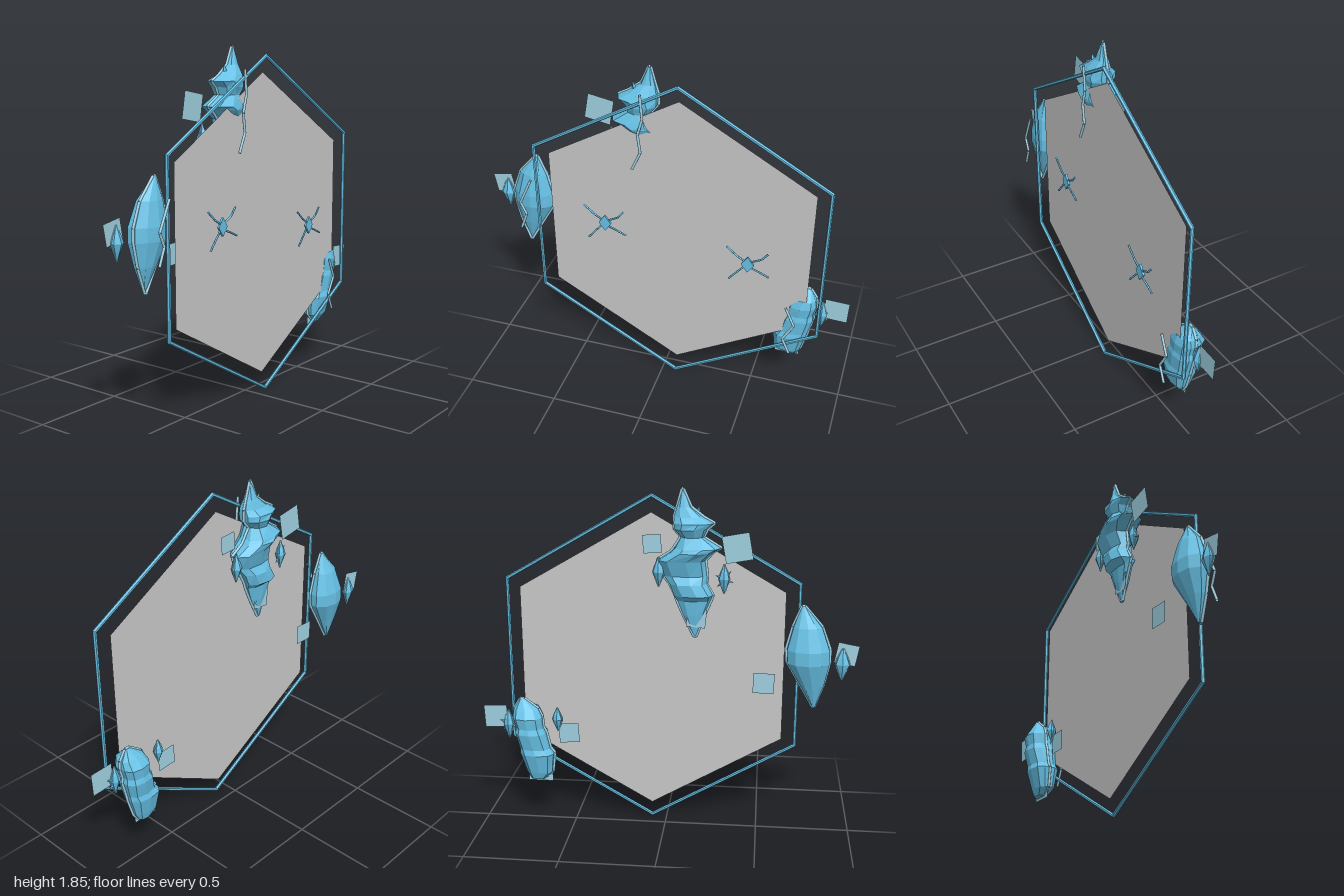
import * as THREE from 'three';

const blue = new THREE.MeshStandardMaterial({ color: 0x6ccaf0, flatShading: true });
blue.name = 'crystal blue';
const muted = new THREE.MeshStandardMaterial({ color: 0x9fd0e0, side: THREE.DoubleSide });
muted.name = 'pale blue';
const grey = new THREE.MeshStandardMaterial({ color: 0xc8c8c8, side: THREE.DoubleSide });
grey.name = 'panel grey';

let seed = 7;
const rand = () => (seed = (seed * 16807) % 2147483647) / 2147483647;
const bulge = (v, power) => Math.sign(v) * Math.abs(v) ** power;

// Faceted rock from rows [y, left x, right x, back z, front z], bottom to top;
// a power below 1 makes the sections boxier
function rockGeometry(rows, sides, jitter, power) {
  const pos = [], idx = [], n = rows.length;
  for (const [y, x0, x1, z0, z1] of rows) {
    for (let i = 0; i < sides; i++) {
      const a = ((i + 0.5) / sides) * Math.PI * 2, k = 1 + jitter * (rand() - 0.5);
      pos.push((x0 + x1) / 2 + (x1 - x0) / 2 * bulge(Math.cos(a), power) * k, y,
        (z0 + z1) / 2 + (z1 - z0) / 2 * bulge(Math.sin(a), power) * k);
    }
  }
  for (let j = 0; j < n - 1; j++) for (let i = 0; i < sides; i++) {
    const a = j * sides + i, b = j * sides + (i + 1) % sides, c = a + sides, d = b + sides;
    idx.push(a, c, b, b, c, d);
  }
  for (let i = 1; i < sides - 1; i++) {
    const t = (n - 1) * sides;
    idx.push(0, i, i + 1, t, t + i + 1, t + i);
  }
  const g = new THREE.BufferGeometry();
  g.setAttribute('position', new THREE.Float32BufferAttribute(pos, 3));
  g.setIndex(idx);
  g.computeVertexNormals();
  return g;
}

// Thin round rods along a list of [x, y] points in one plane
function rods(name, points, z, radius, material, closed = false) {
  const group = new THREE.Group();
  group.name = name;
  const pts = points.map(([x, y]) => new THREE.Vector3(x, y, z));
  if (closed) pts.push(pts[0]);
  for (let i = 0; i < pts.length - 1; i++) {
    const geo = new THREE.TubeGeometry(new THREE.LineCurve3(pts[i], pts[i + 1]), 1, radius, 16, false);
    group.add(new THREE.Mesh(geo, material));
  }
  return group;
}

// Rock with an outline rod around its silhouette
function rock(name, rows, sides, jitter, power, rimZ, rimRadius = 0.007) {
  const group = new THREE.Group();
  group.name = name;
  group.add(new THREE.Mesh(rockGeometry(rows, sides, jitter, power), blue));
  const left = rows.map(r => [r[1], r[0]]);
  const right = rows.map(r => [r[2], r[0]]).reverse();
  group.add(rods(name + 'Rim', [...left, ...right], rimZ, rimRadius, muted, true));
  return group;
}

// Small companion crystal; spiky ones get cross spines
function chip(name, x, y, z, w, h, spiky) {
  const profile = [[-1, 0.05], [-0.45, 0.6], [0, 1], [0.4, 0.7], [1, 0.05]];
  const rows = profile.map(([t, r]) => [y + t * h, x - w * r, x + w * r, z - 0.03 * r, z + 0.03 * r]);
  const group = rock(name, rows, 6, 0.15, 1, z, 0.003);
  if (spiky) for (let i = 0; i < 6; i++) {
    const spine = new THREE.Mesh(new THREE.ConeGeometry(0.014, 0.05, 4), blue);
    const a = i * Math.PI / 3 + 0.3;
    spine.position.set(x + Math.cos(a) * w * 0.9, y + Math.sin(a) * h * 0.5, z);
    spine.rotation.z = a - Math.PI / 2;
    group.add(spine);
  }
  return group;
}

export function createModel() {
  const model = new THREE.Group();

  // Hexagonal panel set slightly behind its frame
  const panel = new THREE.Mesh(new THREE.CircleGeometry(0.81, 6, Math.PI / 2), grey);
  panel.name = 'panel';
  panel.position.set(0.078, 0.91, 0.056);
  const frame = new THREE.Mesh(new THREE.TorusGeometry(0.893, 0.011, 6, 6), blue);
  frame.name = 'frame';
  frame.rotation.z = Math.PI / 2;
  frame.position.set(0.078, 0.91, 0.077);
  model.add(panel, frame);

  // Spindle crystal
  model.add(rock('spindleRock', [
    [0.71, -0.79, -0.78, -0.005, 0.005], [0.84, -0.835, -0.705, -0.045, 0.045],
    [0.96, -0.86, -0.635, -0.083, 0.073], [1.03, -0.86, -0.63, -0.083, 0.073],
    [1.15, -0.815, -0.66, -0.05, 0.055], [1.26, -0.72, -0.705, 0.005, 0.02]], 10, 0.03, 1, 0.012));

  // Jagged crystal with flaring ledges
  model.add(rock('jaggedRock', [
    [1.09, -0.165, -0.15, -0.02, -0.01], [1.2, -0.205, -0.095, -0.04, 0.015],
    [1.28, -0.24, -0.06, -0.05, 0.02], [1.31, -0.25, -0.05, -0.09, 0.045],
    [1.37, -0.215, -0.02, -0.09, 0.045], [1.41, -0.22, 0.01, -0.065, 0.04],
    [1.49, -0.21, 0.04, -0.09, 0.05], [1.535, -0.25, -0.03, -0.115, 0.073],
    [1.555, -0.29, -0.045, -0.105, 0.073], [1.61, -0.2, -0.08, -0.07, 0.055],
    [1.65, -0.22, -0.045, -0.09, 0.065], [1.68, -0.255, -0.045, -0.09, 0.068],
    [1.71, -0.2, -0.045, -0.06, 0.05], [1.76, -0.135, -0.06, -0.04, 0.02],
    [1.85, -0.095, -0.085, -0.015, -0.005]], 9, 0.08, 0.9, -0.015));
  const horn = new THREE.Mesh(new THREE.ConeGeometry(0.025, 0.08, 4), blue);
  horn.name = 'horn';
  horn.position.set(-0.165, 1.73, 0);
  horn.rotation.z = 0.25;
  model.add(horn);

  // Blocky crystal
  model.add(rock('blockyRock', [
    [0.25, 0.665, 0.74, -0.04, 0.015], [0.29, 0.62, 0.765, -0.055, 0.045],
    [0.4, 0.607, 0.795, -0.08, 0.07], [0.43, 0.63, 0.8, -0.07, 0.064],
    [0.52, 0.65, 0.82, -0.088, 0.073], [0.55, 0.665, 0.815, -0.08, 0.066],
    [0.61, 0.67, 0.83, -0.085, 0.071], [0.655, 0.69, 0.825, -0.055, 0.06],
    [0.71, 0.765, 0.79, -0.015, 0.0]], 10, 0.05, 0.75, -0.005));

  // Companion crystals
  model.add(
    chip('spindleChip', -0.92, 0.967, -0.035, 0.038, 0.085, false),
    chip('jaggedChipLeft', 0.03, 1.43, -0.035, 0.03, 0.075, false),
    chip('jaggedChipRight', -0.305, 1.4, -0.035, 0.028, 0.075, true),
    chip('blockyChipLeft', 0.86, 0.56, 0.0, 0.03, 0.08, true),
    chip('blockyChipRight', 0.585, 0.6, -0.015, 0.028, 0.065, false));

  // Square cards: x, y, z, size, tilt
  const cards = [
    [-0.37, 1.56, -0.04, 0.14, -0.18], [0.066, 1.57, -0.015, 0.095, -0.08],
    [-0.165, 1.19, -0.03, 0.1, 0.1], [-0.94, 1.02, -0.035, 0.11, 0.18],
    [-0.52, 0.85, -0.04, 0.11, 0.03], [0.525, 0.52, -0.01, 0.11, -0.05],
    [0.932, 0.598, 0.005, 0.127, -0.04], [0.69, 0.3, -0.01, 0.135, 0]];
  for (const [x, y, z, size, tilt] of cards) {
    const card = new THREE.Mesh(new THREE.PlaneGeometry(size, size), muted);
    card.name = 'card';
    card.position.set(x, y, z);
    card.rotation.z = tilt;
    model.add(card);
  }

  // Cracks floating in front of the rocks
  model.add(
    rods('spindleCrack', [[-0.715, 1.16], [-0.785, 1.01], [-0.755, 0.94], [-0.79, 0.85]], 0.108, 0.007, muted),
    rods('jaggedCrack', [[-0.11, 1.74], [-0.1, 1.61], [-0.125, 1.52], [-0.112, 1.42], [-0.157, 1.32]], 0.085, 0.007, muted),
    rods('blockyCrack', [[0.68, 0.63], [0.73, 0.52], [0.675, 0.42], [0.715, 0.33]], 0.1, 0.007, muted));

  // Four-legged emblems in front of the panel
  const legs = [
    [[-0.02, 0.02], [-0.055, 0.04], [-0.115, 0.092]],
    [[0.02, 0.02], [0.07, 0.045], [0.105, 0.088]],
    [[-0.02, -0.02], [-0.05, -0.055], [-0.095, -0.11]],
    [[0.02, -0.02], [0.06, -0.035], [0.115, -0.06]]];
  for (const [x, y] of [[-0.31, 0.967], [0.463, 0.865]]) {
    const emblem = new THREE.Group();
    emblem.name = 'emblem';
    const body = new THREE.Mesh(new THREE.CylinderGeometry(1, 1, 1, 4).rotateX(Math.PI / 2), blue);
    body.name = 'emblemBody';
    body.scale.set(0.034, 0.048, 0.012);
    emblem.add(body);
    for (const leg of legs) emblem.add(rods('emblemLeg', leg, 0, 0.005, blue));
    emblem.position.set(x, y, 0.095);
    model.add(emblem);
  }
  return model;
}
